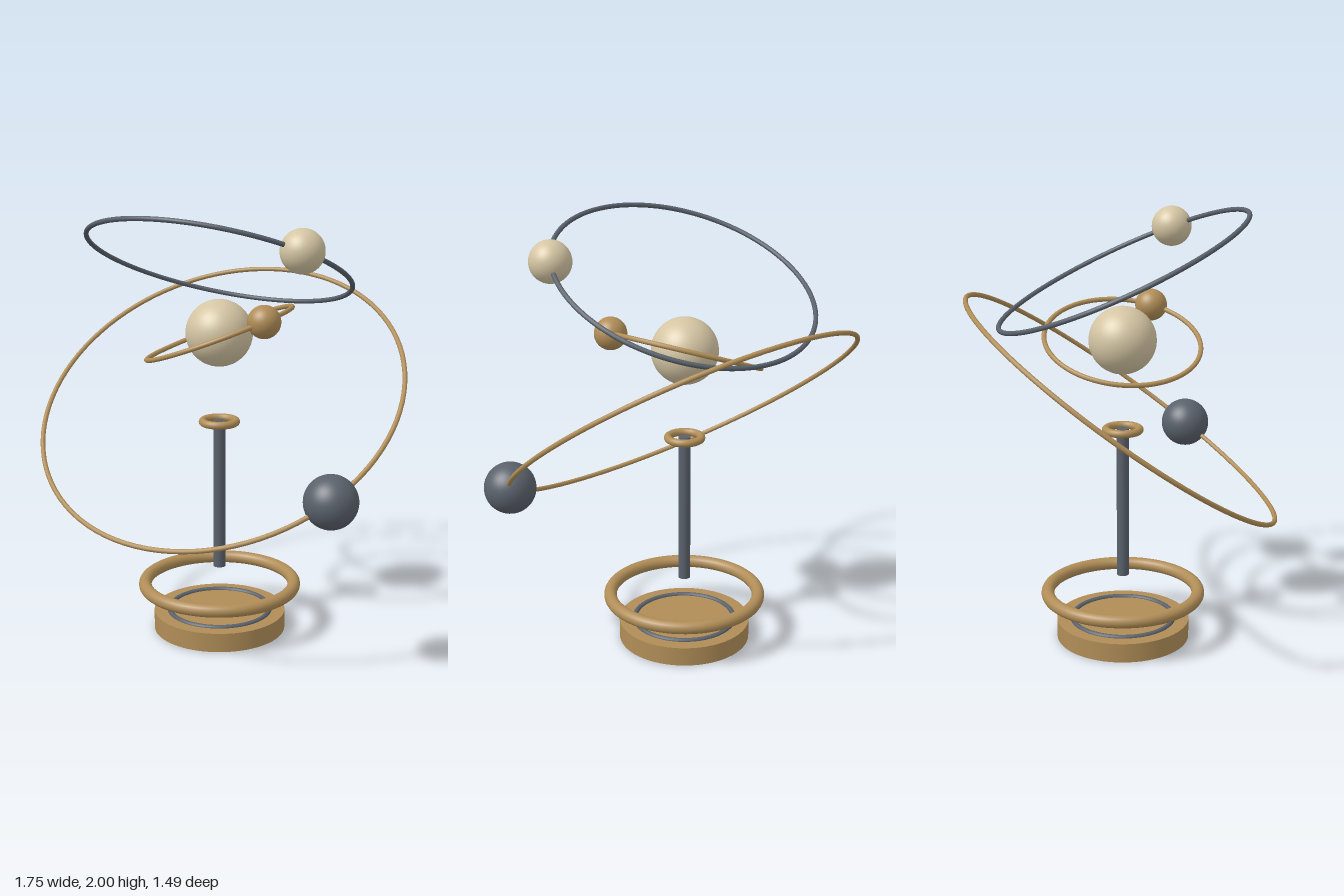
import * as THREE from 'three';

const material = (name, color) => {
  const m = new THREE.MeshStandardMaterial({ color });
  m.name = name;
  return m;
};

export function createModel() {
  const brass = material('brass', 0xb08d57);
  const steel = material('steel', 0x5a616b);
  const ivory = material('ivory', 0xd4c5a3);

  const model = new THREE.Group();
  model.name = 'orrery';
  // Everything is centred on the column axis
  const axis = new THREE.Group();
  axis.name = 'columnAxis';
  axis.position.x = -0.05;
  model.add(axis);

  const add = (parent, name, geometry, mat, y = 0) => {
    const mesh = new THREE.Mesh(geometry, mat);
    mesh.name = name;
    mesh.position.y = y;
    parent.add(mesh);
    return mesh;
  };
  const ring = (radius, tube, sides = 12) =>
    new THREE.TorusGeometry(radius, tube, sides, 96).rotateX(Math.PI / 2);
  const ball = (radius) => new THREE.SphereGeometry(radius, 40, 28);

  // Stand
  add(axis, 'base', new THREE.CylinderGeometry(0.31, 0.31, 0.09, 64), brass, 0.045);
  add(axis, 'baseInlayRing', ring(0.237, 0.012), steel, 0.09);
  add(axis, 'baseHoop', ring(0.352, 0.03, 18), brass, 0.22);
  add(axis, 'column', new THREE.CylinderGeometry(0.028, 0.028, 0.71, 32), steel, 0.66);
  add(axis, 'columnCollar', ring(0.077, 0.018, 16), brass, 1.01);

  // Central sphere
  add(axis, 'sun', ball(0.153), ivory, 1.425);

  // Tilted orbit rings, each carrying one planet
  const orbits = [
    { name: 'inner', y: 1.424, r: 0.351, tiltX: 0.22, tiltZ: 0.295, ringMat: brass, size: 0.074, planetMat: brass },
    { name: 'middle', y: 1.742, r: 0.604, tiltX: -0.38, tiltZ: 0.197, ringMat: steel, size: 0.095, planetMat: ivory },
    { name: 'outer', y: 1.118, r: 0.854, tiltX: 0.54, tiltZ: -0.337, ringMat: brass, size: 0.118, planetMat: steel },
  ];
  for (const o of orbits) {
    const orbit = new THREE.Group();
    orbit.name = o.name + 'Orbit';
    orbit.position.y = o.y;
    orbit.rotation.set(o.tiltX, 0, o.tiltZ, 'ZYX');
    add(orbit, o.name + 'OrbitRing', ring(o.r, 0.011), o.ringMat);
    add(orbit, o.name + 'Planet', ball(o.size), o.planetMat).position.x = o.r;
    axis.add(orbit);
  }
  return model;
}
